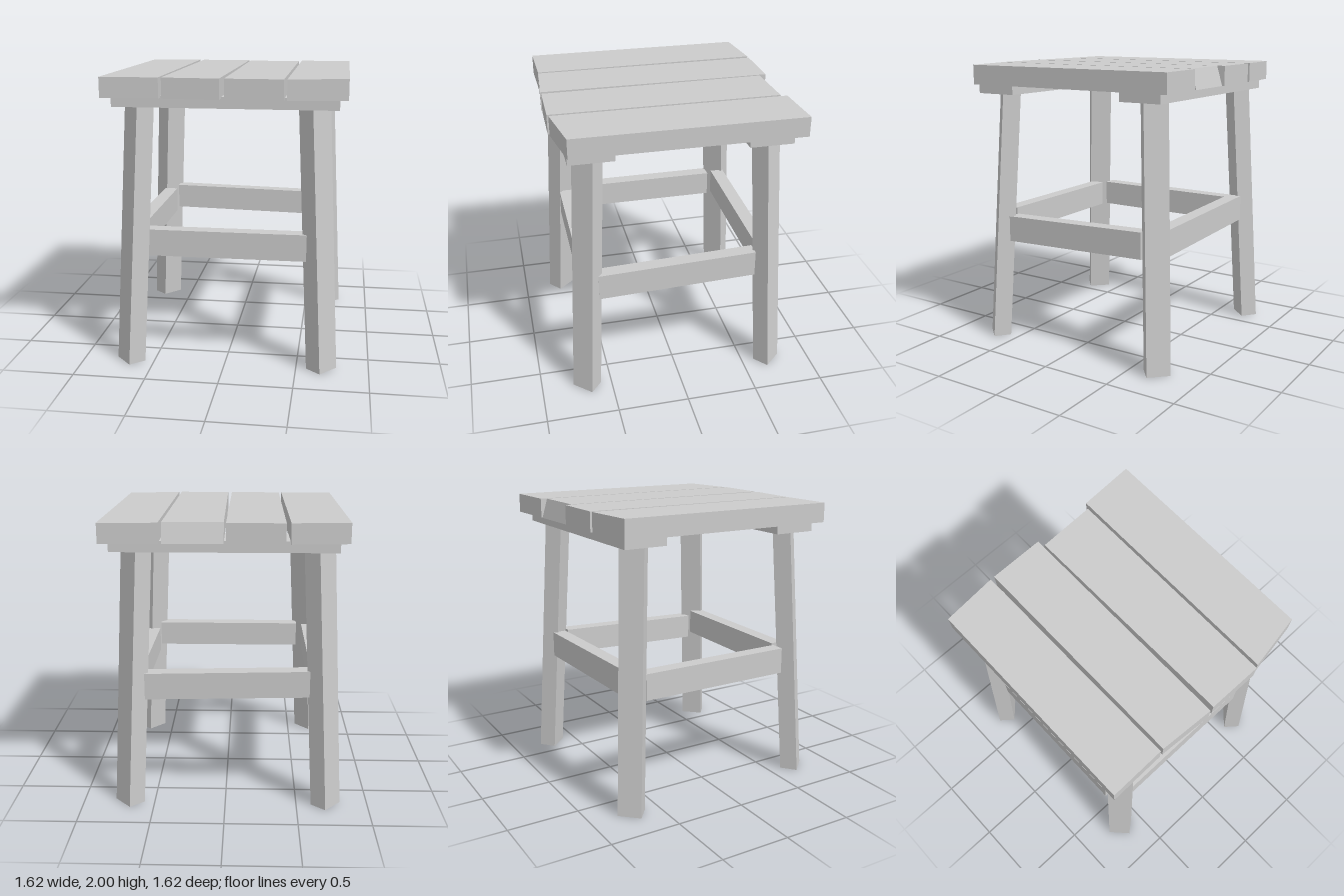
import * as THREE from 'three';

const material = new THREE.MeshStandardMaterial({ color: 0xcccccc, flatShading: true });

// Six-sided block from a bottom and a top quad, each listed
// front-left, front-right, back-right, back-left as seen from above
function block(name, bottom, top) {
  const corners = [...bottom, ...top];
  const sides = [[0, 1, 5, 4], [1, 2, 6, 5], [2, 3, 7, 6], [3, 0, 4, 7], [4, 5, 6, 7], [3, 2, 1, 0]];
  const positions = [];
  for (const [a, b, c, d] of sides) {
    for (const i of [a, b, c, a, c, d]) positions.push(...corners[i]);
  }
  const geometry = new THREE.BufferGeometry();
  geometry.setAttribute('position', new THREE.Float32BufferAttribute(positions, 3));
  geometry.computeVertexNormals();
  const mesh = new THREE.Mesh(geometry, material);
  mesh.name = name;
  return mesh;
}

const atHeight = (outline, y) => outline.map(([x, z]) => [x, y, z]);

// Seat board with hand-cut ends; bevel pulls the top back edge forward
function board(outline, bevel = 0) {
  const top = outline.map(([x, z], i) => [x, i > 1 ? z + bevel : z]);
  return block('seatBoard', atHeight(outline, 1.865), atHeight(top, 2));
}

// Leg set diagonally on its corner, leaning in towards the seat
function leg(name, x, z) {
  const sx = Math.sign(x), sz = Math.sign(z);
  const lean = 0.087;
  const outline = [[-0.008, 0.1], [0.104, -0.02], [0.008, -0.1], [-0.104, 0.02]]
    .map(([dx, dz]) => [x + sx * dx, z + sz * dz]);
  if (sx * sz < 0) outline.reverse();
  const top = outline.map(([px, pz]) => [px - sx * lean, pz - sz * lean]);
  return block(name, atHeight(outline, 0), atHeight(top, 1.81));
}

// Rail between two legs; y0 and y1 are the bottom heights at its two ends
function rail(name, alongX, from, to, across, y0, y1) {
  const height = 0.185, half = 0.05;
  const outline = alongX
    ? [[from, across + half], [to, across + half], [to, across - half], [from, across - half]]
    : [[across - half, to], [across + half, to], [across + half, from], [across - half, from]];
  const bottom = outline.map(([x, z]) => {
    const t = ((alongX ? x : z) - from) / (to - from);
    return [x, y0 + (y1 - y0) * t, z];
  });
  return block(name, bottom, bottom.map(([x, y, z]) => [x, y + height, z]));
}

export function createModel() {
  const stool = new THREE.Group();
  stool.name = 'stool';

  // Seat boards, left to right
  const seat = new THREE.Group();
  seat.name = 'seat';
  seat.add(
    board([[-0.8, 0.79], [-0.41, 0.785], [-0.42, -0.8], [-0.8, -0.77]]),
    board([[-0.39, 0.785], [-0.01, 0.81], [-0.01, -0.8], [-0.39, -0.8]]),
    board([[0.02, 0.805], [0.4, 0.81], [0.4, -0.8], [0.005, -0.79]], 0.04),
    board([[0.42, 0.8], [0.805, 0.735], [0.805, -0.815], [0.42, -0.8]])
  );
  stool.add(seat);

  // Cleats under the seat
  for (const [name, z] of [['frontCleat', 0.585], ['backCleat', -0.59]]) {
    const cleat = new THREE.Mesh(new THREE.BoxGeometry(1.49, 0.075, 0.3), material);
    cleat.position.set(0.005, 1.8375, z);
    cleat.name = name;
    stool.add(cleat);
  }

  // Legs
  stool.add(
    leg('frontLeftLeg', 0.675, 0.675),
    leg('frontRightLeg', -0.667, 0.7),
    leg('backLeftLeg', 0.675, -0.69),
    leg('backRightLeg', -0.707, -0.7)
  );

  // Rails, slightly out of level
  stool.add(
    rail('frontRail', true, -0.545, 0.568, 0.625, 0.77, 0.77),
    rail('backRail', true, -0.575, 0.55, -0.64, 0.795, 0.77),
    rail('leftRail', false, -0.556, 0.56, 0.625, 0.765, 0.727),
    rail('rightRail', false, -0.565, 0.56, -0.635, 0.77, 0.77)
  );
  return stool;
}
